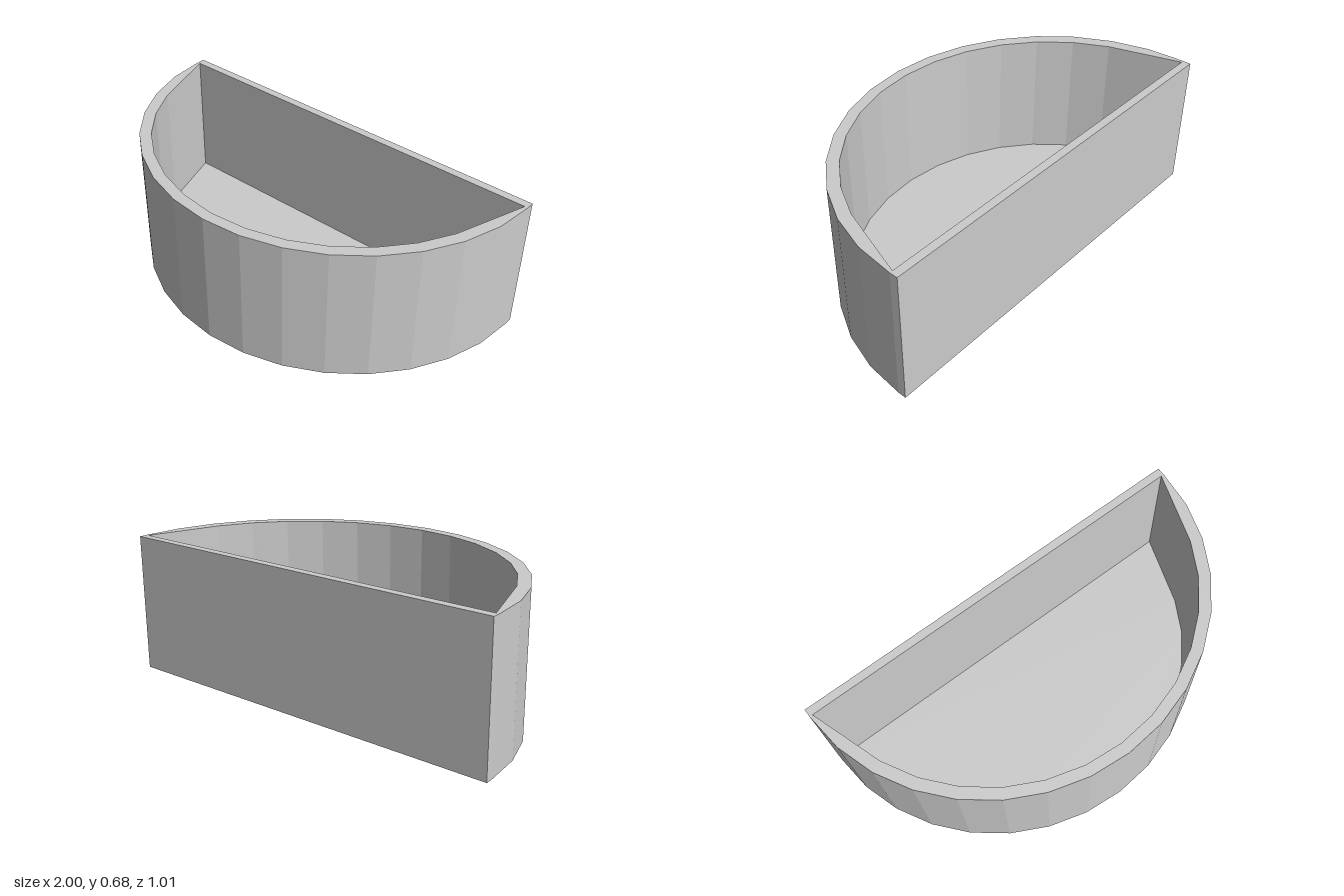
import * as THREE from 'three';

const HEIGHT = 0.68, FLOOR = 0.04;
const BACK = -0.51, WALL = -0.47; // outer and inner faces of the back panel
const STEP = Math.PI / 16;

// Points on a half ellipse bulging to the front, from left (+x) to right.
// Shape y is -z, so that extruding and tipping it back gives a vertical prism.
function arc(rx, rz, first, last) {
  const points = [];
  for (let k = first; k <= last; k++) {
    points.push(new THREE.Vector2(rx * Math.cos(k * STEP), -(WALL + rz * Math.sin(k * STEP))));
  }
  return points;
}

function prism(name, points, depth, material) {
  const geometry = new THREE.ExtrudeGeometry(new THREE.Shape(points), { depth, bevelEnabled: false });
  geometry.rotateX(-Math.PI / 2);
  const mesh = new THREE.Mesh(geometry, material);
  mesh.name = name;
  return mesh;
}

export function createModel() {
  const group = new THREE.Group();
  group.name = 'halfRoundBin';
  const material = new THREE.MeshStandardMaterial({ color: 0xcccccc, flatShading: true });

  const outer = arc(1, 0.975, 0, 16);
  // The inner face runs straight out to the back panel at both ends
  const inner = [
    new THREE.Vector2(0.985, -WALL),
    ...arc(0.94, 0.92, 2, 14),
    new THREE.Vector2(-0.985, -WALL),
  ];

  // Faceted curved wall, tapering towards the back corners
  group.add(prism('curvedWall', [...outer, ...inner.slice().reverse()], HEIGHT, material));

  // Floor inside the wall
  group.add(prism('floor', inner, FLOOR, material));

  // Flat back panel
  const back = new THREE.Mesh(new THREE.BoxGeometry(2, HEIGHT, WALL - BACK), material);
  back.position.set(0, HEIGHT / 2, (WALL + BACK) / 2);
  back.name = 'backPanel';
  group.add(back);

  return group;
}
